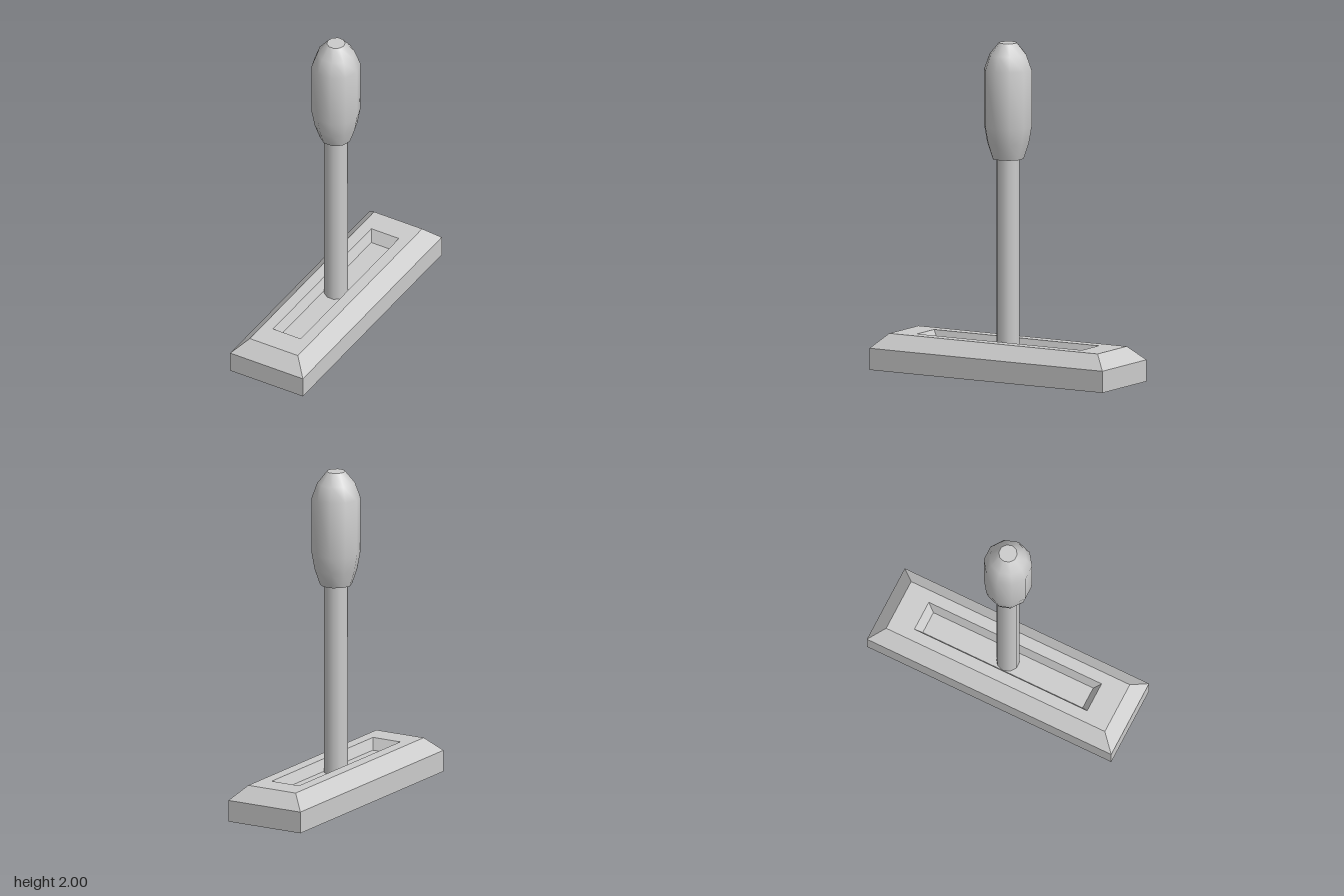
import * as THREE from 'three';
import { toCreasedNormals } from 'three/addons/utils/BufferGeometryUtils.js';

const SIDES = 10;

// Solid skinned over stacked rectangles [halfX, halfZ, y], capped at both ends
function rectLoft(sections) {
  const corners = ([x, z, y]) => [[-x, y, z], [x, y, z], [x, y, -z], [-x, y, -z]];
  const pos = [];
  const quad = (a, b, c, d) => pos.push(...a, ...b, ...c, ...a, ...c, ...d);
  const rings = sections.map(corners);
  for (let i = 0; i < rings.length - 1; i++) {
    const lo = rings[i], hi = rings[i + 1];
    for (let k = 0; k < 4; k++) {
      const n = (k + 1) % 4;
      quad(lo[k], lo[n], hi[n], hi[k]);
    }
  }
  quad(...rings[0].slice().reverse());
  quad(...rings[rings.length - 1]);
  const geo = new THREE.BufferGeometry();
  geo.setAttribute('position', new THREE.Float32BufferAttribute(pos, 3));
  geo.computeVertexNormals();
  return geo;
}

export function createModel() {
  const group = new THREE.Group();
  const material = new THREE.MeshStandardMaterial({ color: 0xcccccc });
  const add = (name, geometry) => {
    const mesh = new THREE.Mesh(geometry, material);
    mesh.name = name;
    group.add(mesh);
    return mesh;
  };

  // Bevelled base plate with a sunken slot
  add('base', rectLoft([
    [0.25, 0.81, 0],
    [0.25, 0.81, 0.13],
    [0.165, 0.725, 0.215],
    [0.095, 0.573, 0.215],
    [0.07, 0.53, 0.15],
  ]));

  // Lever shaft standing in the slot
  const shaft = new THREE.CylinderGeometry(0.07, 0.07, 1.2, SIDES, 1, false, Math.PI / 2);
  add('leverShaft', shaft).position.y = 0.75;

  // Rounded grip with flat ends
  const profile = [
    [0, 1.305], [0.095, 1.305], [0.127, 1.4], [0.145, 1.5],
    [0.145, 1.84], [0.112, 1.93], [0.055, 2], [0, 2],
  ].map(([r, y]) => new THREE.Vector2(r, y));
  const grip = new THREE.LatheGeometry(profile, SIDES, Math.PI / 2);
  add('grip', toCreasedNormals(grip, 0.8));

  return group;
}
